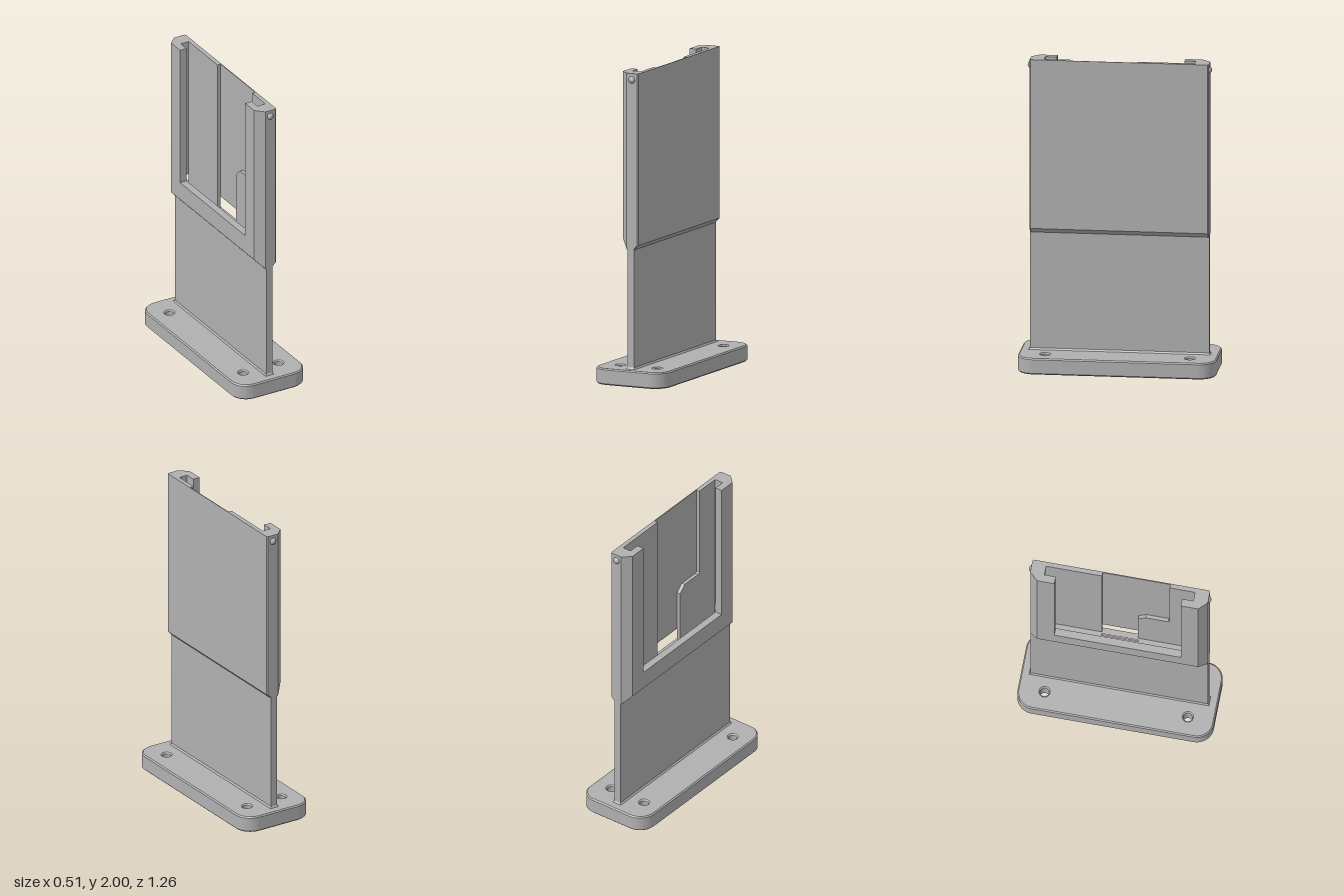
import * as THREE from 'three';
import { toCreasedNormals } from 'three/addons/utils/BufferGeometryUtils.js';

const rect = (x0, x1, z0, z1) => [[x0, z0], [x1, z0], [x1, z1], [x0, z1]];

// Plan shape from [x, z] points (shape y is -z)
const plan = (pts) => new THREE.Shape(pts.map(([x, z]) => new THREE.Vector2(x, -z)));

// Extrude a plan shape from y0 up to y1
function rise(shape, y0, y1, chamfer = 0) {
  const g = new THREE.ExtrudeGeometry(shape, {
    depth: y1 - y0 - 2 * chamfer, curveSegments: 16,
    bevelEnabled: chamfer > 0, bevelThickness: chamfer, bevelSize: chamfer,
    bevelOffset: -chamfer, bevelSegments: 1,
  });
  return g.rotateX(-Math.PI / 2).translate(0, y0 + chamfer, 0);
}

// Side skin through stacked plan loops [y, points]
function skin(levels) {
  const v = [];
  for (let i = 0; i + 1 < levels.length; i++) {
    const [ya, a] = levels[i], [yb, b] = levels[i + 1];
    a.forEach((p, j) => {
      const k = (j + 1) % a.length;
      const a0 = [p[0], ya, p[1]], a1 = [a[k][0], ya, a[k][1]];
      const b0 = [b[j][0], yb, b[j][1]], b1 = [b[k][0], yb, b[k][1]];
      v.push(...a0, ...b0, ...b1, ...a0, ...b1, ...a1);
    });
  }
  const g = new THREE.BufferGeometry();
  g.setAttribute('position', new THREE.Float32BufferAttribute(v, 3));
  g.computeVertexNormals();
  return g;
}

// Holder outline: wide chamfers on the open side, small ones on the closed side
const H = 0.57;
function outline(x0, x1) {
  const zc = H - Math.max(0, -0.032 - x0);
  const half = [[x0, -zc], [Math.max(x0 + 0.001, -0.032), -H], [x1 - 0.007, -H], [x1, -H + 0.007]];
  return [...half, ...half.map(([x, z]) => [x, -z]).reverse()];
}

export function createModel() {
  const model = new THREE.Group();
  const grey = new THREE.MeshStandardMaterial({ color: 0xb0b0b0 });
  grey.name = 'grey plastic';
  const add = (name, geometry) => {
    const m = new THREE.Mesh(geometry, grey);
    m.name = name;
    model.add(m);
    return m;
  };
  const slot = () => plan(rect(-0.021, 0.01, -0.12, 0.115));

  // Base plate with rounded corners, four screw holes and the cable slot
  const bx = 0.255, bz = 0.63, r = 0.11;
  const base = new THREE.Shape();
  base.absarc(bx - r, bz - r, r, 0, Math.PI / 2);
  base.absarc(-bx + r, bz - r, r, Math.PI / 2, Math.PI);
  base.absarc(-bx + r, -bz + r, r, Math.PI, Math.PI * 1.5);
  base.absarc(bx - r, -bz + r, r, Math.PI * 1.5, Math.PI * 2);
  base.closePath();
  for (const x of [-0.13, 0.13]) for (const z of [-0.46, 0.46]) {
    base.holes.push(new THREE.Path().absarc(x, z, 0.028, 0, Math.PI * 2, true));
  }
  base.holes.push(slot());
  add('basePlate', toCreasedNormals(rise(base, 0, 0.105, 0.008), 0.5));

  // Hollow upright with a small fillet at its foot
  const stem = plan(rect(-0.025, 0.021, -H, H));
  stem.holes.push(slot());
  add('upright', rise(stem, 0.1, 0.93));
  add('uprightFillet', skin([
    [0.104, rect(-0.034, 0.03, -H - 0.008, H + 0.008)],
    [0.116, rect(-0.025, 0.021, -H, H)],
  ]));

  // Holder underside, sloping out from the upright
  const X0 = -0.084, X1 = 0.051;
  add('holderUnderside', skin([
    [0.87, outline(-0.03, 0.022)],
    [0.9, outline(-0.057, X1)],
    [0.93, outline(X0, X1)],
  ]));

  // Holder floor with the slot
  const floor = plan(outline(X0, X1));
  floor.holes.push(slot());
  add('holderFloor', rise(floor, 0.93, 0.97));

  // Closed pocket below the window sill
  const P0 = -0.036, P1 = 0.045, PZ = 0.478, W = 0.406;
  const pocket = plan(outline(X0, X1));
  pocket.holes.push(plan(rect(P0, P1, -PZ, PZ)));
  add('holderSill', rise(pocket, 0.97, 1.05));

  // Open channel above the sill, with a lip at each end
  const o = outline(X0, X1);
  const channel = plan([
    ...o, [X0, W], [P0, W], [P0, PZ], [P1, PZ],
    [P1, -PZ], [P0, -PZ], [P0, -W], [X0, -W],
  ]);
  add('holderChannel', rise(channel, 1.05, 2));

  // Raised back panels either side of the cable recess
  const panels = {
    rearPanel: [[-PZ, 0.97], [-0.12, 0.97], [-0.12, 2], [-PZ, 2]],
    frontPanel: [[0.112, 0.97], [PZ, 0.97], [PZ, 2], [0.315, 2], [0.315, 1.38],
      [0.305, 1.37], [0.16, 1.37], [0.112, 1.325]],
  };
  for (const [name, pts] of Object.entries(panels)) {
    const shape = new THREE.Shape(pts.map(([z, y]) => new THREE.Vector2(z, y)));
    const g = new THREE.ExtrudeGeometry(shape, { depth: 0.023, bevelEnabled: false });
    add(name, g.rotateY(-Math.PI / 2).translate(P1, 0, 0));
  }

  // Round snap nubs on both ends
  for (const s of [-1, 1]) {
    const nub = add(s > 0 ? 'frontNub' : 'rearNub', new THREE.SphereGeometry(0.024, 20, 14));
    nub.position.set(0.005, 1.958, s * 0.562);
  }
  return model;
}
